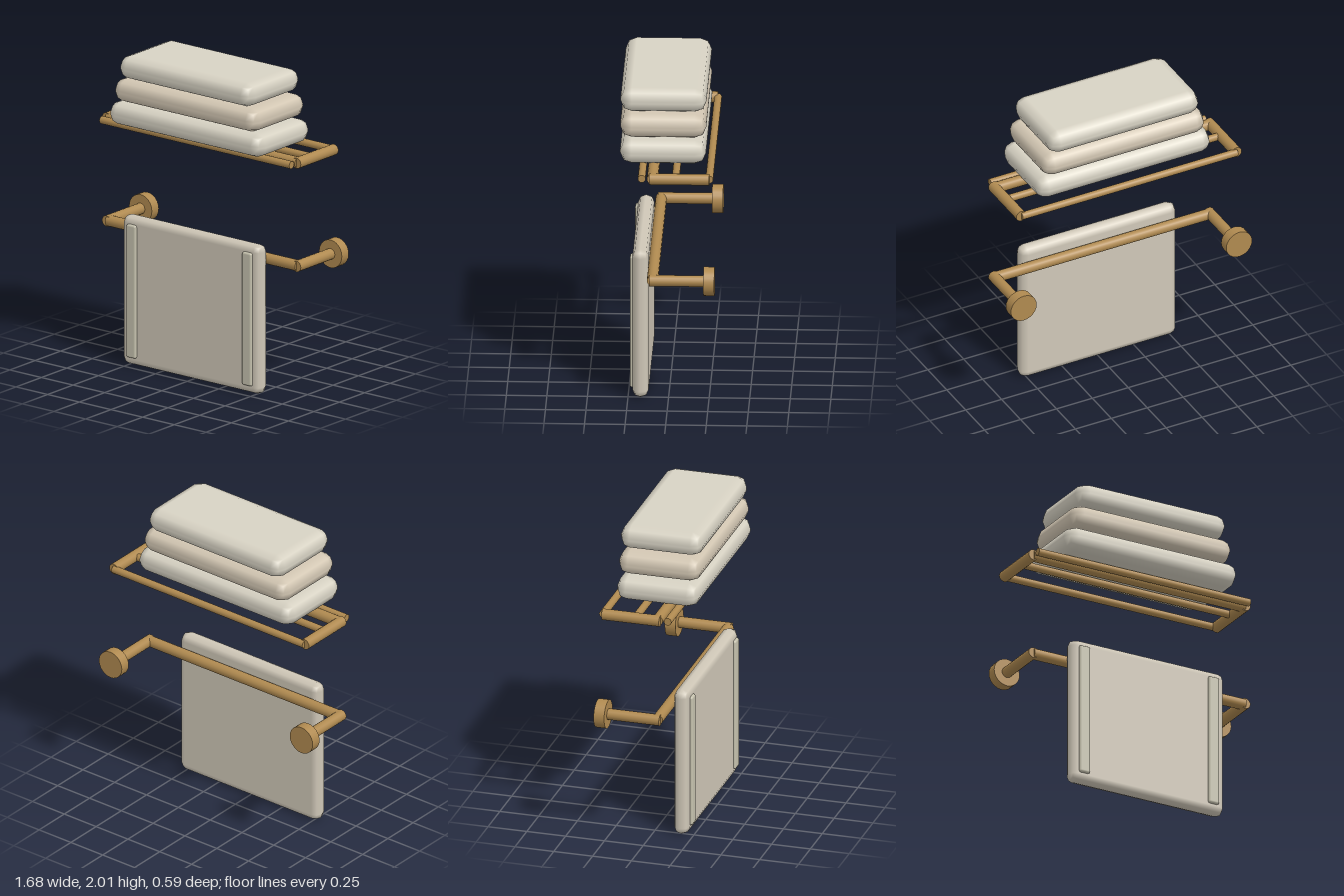
import * as THREE from 'three';
import { RoundedBoxGeometry } from 'three/addons/geometries/RoundedBoxGeometry.js';

const mat = (color) => new THREE.MeshStandardMaterial({ color });

export function createModel() {
  const root = new THREE.Group();
  const brass = mat(0xb08a50);
  const cream = mat(0xd8d3c4);
  const beige = mat(0xd4c8b4);
  const linen = mat(0xd0c8b8);
  const trim = mat(0xc8c4b0);

  const add = (parent, name, geometry, material, x, y, z) => {
    const mesh = new THREE.Mesh(geometry, material);
    mesh.name = name;
    mesh.position.set(x, y, z);
    parent.add(mesh);
    return mesh;
  };
  // horizontal rod along x, centred on x = 0
  const rodX = (parent, name, r, length, y, z) =>
    add(parent, name, new THREE.CylinderGeometry(r, r, length, 16).rotateZ(Math.PI / 2), brass, 0, y, z);
  // rod along z between two depths
  const rodZ = (parent, name, r, x, y, z0, z1, sides = 16) =>
    add(parent, name, new THREE.CylinderGeometry(r, r, z1 - z0, sides).rotateX(Math.PI / 2), brass, x, y, (z0 + z1) / 2);
  // softly chamfered cloth block
  const cloth = (parent, name, w, h, d, r, material, x, y, z) =>
    add(parent, name, new RoundedBoxGeometry(w, h, d, 1, r), material, x, y, z);

  // upper shelf: front bar, side arms and three thin rails
  const shelf = new THREE.Group();
  shelf.name = 'shelf';
  root.add(shelf);
  rodX(shelf, 'shelfFrontBar', 0.035, 1.5, 1.515, 0.09);
  for (const s of [-1, 1]) rodZ(shelf, 'shelfArm', 0.035, s * 0.75, 1.515, -0.26, 0.11);
  for (const z of [-0.26, -0.052, 0.157]) rodX(shelf, 'shelfRail', 0.024, 1.5, 1.515, z);

  // lower towel bar with wall flanges
  const bar = new THREE.Group();
  bar.name = 'towelBar';
  root.add(bar);
  rodX(bar, 'hangingBar', 0.035, 1.5, 0.85, 0.09);
  for (const s of [-1, 1]) {
    rodZ(bar, 'barArm', 0.035, s * 0.75, 0.85, -0.26, 0.11);
    rodZ(bar, 'wallFlange', 0.09, s * 0.75, 0.85, -0.293, -0.225, 24);
  }

  // folded towels, each narrower than the one below
  const stack = new THREE.Group();
  stack.name = 'towelStack';
  root.add(stack);
  for (let i = 0; i < 3; i++) {
    cloth(stack, 'foldedTowel', 1.21 - i * 0.08, 0.153, 0.53, 0.07,
      i === 1 ? beige : cream, 0, 1.62 + i * 0.155, 0.033);
  }

  // hanging towel with two vertical trim bands
  const hanging = new THREE.Group();
  hanging.name = 'hangingTowel';
  root.add(hanging);
  cloth(hanging, 'towelPanel', 1.09, 0.965, 0.1, 0.048, linen, 0, 0.479, 0.173);
  for (const s of [-1, 1]) {
    cloth(hanging, 'trimBand', 0.076, 0.86, 0.04, 0.014, trim, s * 0.457, 0.483, 0.22);
  }
  return root;
}
